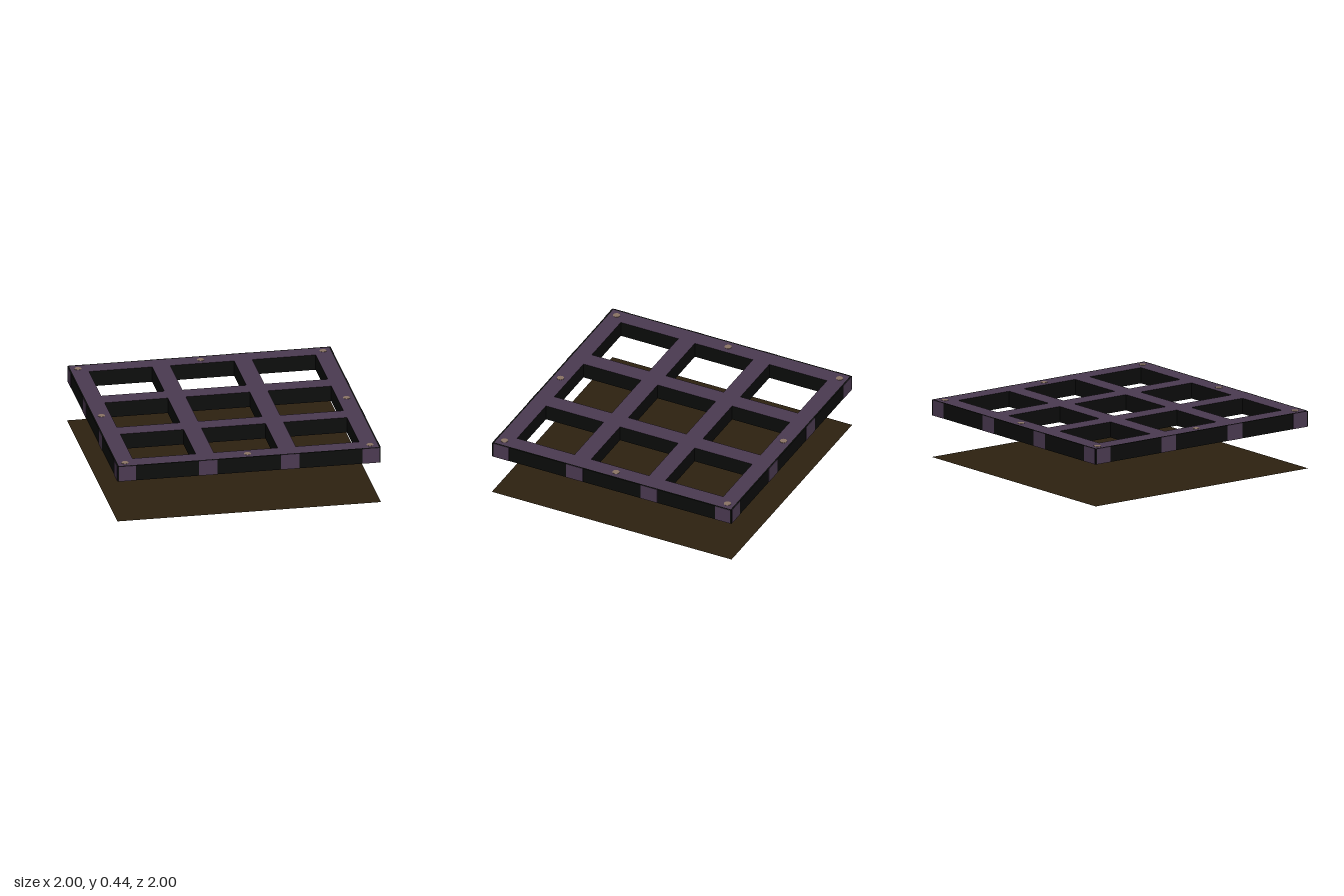
import * as THREE from 'three';

const mat = (name, color) => {
  const m = new THREE.MeshStandardMaterial({ color });
  m.name = name;
  return m;
};

// Adds an axis-aligned square outline to a shape or path
function rect(path, x0, y0, x1, y1) {
  path.moveTo(x0, y0);
  path.lineTo(x1, y0);
  path.lineTo(x1, y1);
  path.lineTo(x0, y1);
  path.closePath();
  return path;
}

export function createModel() {
  const model = new THREE.Group();
  const purple = mat('dark purple metal', 0x4b3a51);
  const black = mat('near black', 0x0b0c0b);
  const brown = mat('dark brown', 0x2d2110);
  const tan = mat('tan rivet', 0x8a7464);
  brown.side = THREE.DoubleSide;

  const bottom = 0.32, top = 0.44, height = top - bottom;
  const edge = 0.998, inset = 0.987;
  const gaps = [[-0.86, -0.38], [-0.242, 0.242], [0.38, 0.86]];
  const bars = [[-inset, -0.86], [-0.38, -0.242], [0.242, 0.38], [0.86, inset]];

  const add = (name, geometry, material, parent = model) => {
    const mesh = new THREE.Mesh(geometry, material);
    mesh.name = name;
    parent.add(mesh);
    return mesh;
  };
  const slab = (shape) => new THREE.ExtrudeGeometry(shape, { depth: height, bevelEnabled: false })
    .rotateX(-Math.PI / 2).translate(0, bottom, 0);

  // Floor sheet
  add('floorSheet', new THREE.PlaneGeometry(2, 2).rotateX(-Math.PI / 2), brown);

  // Lattice with nine square openings, dark inner walls
  const lattice = rect(new THREE.Shape(), -inset, -inset, inset, inset);
  for (const [x0, x1] of gaps) {
    for (const [y0, y1] of gaps) lattice.holes.push(rect(new THREE.Path(), x0, y0, x1, y1));
  }
  add('lattice', slab(lattice), [purple, black]);

  // Dark rim around the lattice
  const rim = rect(new THREE.Shape(), -edge, -edge, edge, edge);
  rim.holes.push(rect(new THREE.Path(), -inset, -inset, inset, inset));
  add('rim', slab(rim), black);

  // Bar ends showing on each of the four outer sides
  for (let i = 0; i < 4; i++) {
    const side = new THREE.Group();
    side.name = 'barEnds';
    side.rotation.y = i * Math.PI / 2;
    for (const [x0, x1] of bars) {
      const plate = add('barEnd', new THREE.BoxGeometry(x1 - x0, height, 0.002), purple, side);
      plate.position.set((x0 + x1) / 2, (bottom + top) / 2, edge + 0.001);
    }
    model.add(side);
  }

  // Rivets at the corners and side middles, above and below
  const rivet = new THREE.CylinderGeometry(0.027, 0.027, 0.004, 16);
  for (const x of [-0.93, 0, 0.93]) {
    for (const z of [-0.93, 0, 0.93]) {
      if (x === 0 && z === 0) continue;
      for (const y of [bottom, top]) add('rivet', rivet, tan).position.set(x, y, z);
    }
  }
  return model;
}
